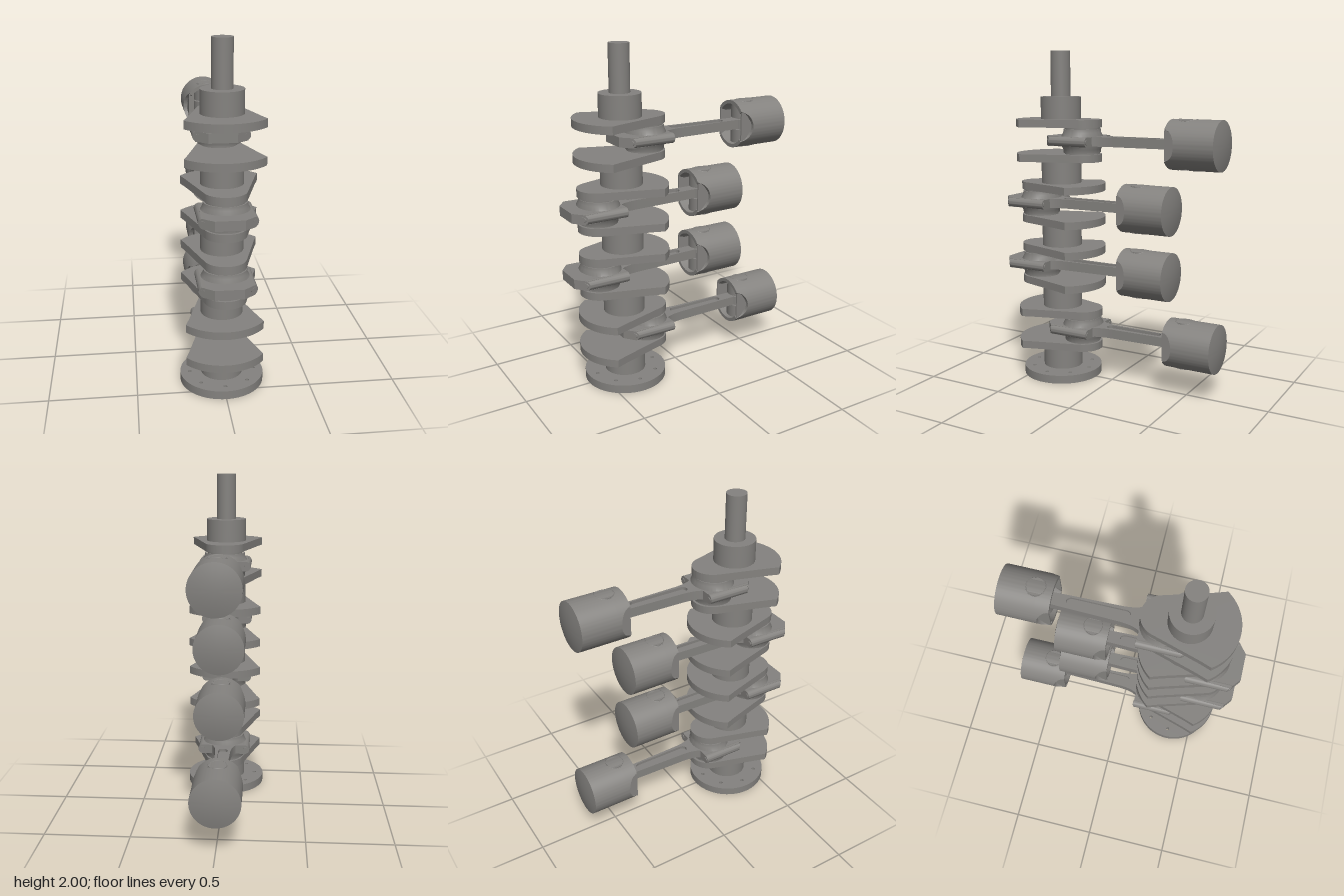
import * as THREE from 'three';
import { toCreasedNormals } from 'three/addons/utils/BufferGeometryUtils.js';

const material = new THREE.MeshStandardMaterial({ color: 0x84827f });
const AXIS_Z = 0.355;   // crankshaft axis
const THROW = 0.15;     // crankpin offset
const ROD = 0.69;       // distance between rod eyes
const PISTON_R = 0.143;

function add(parent, name, geometry, x = 0, y = 0, z = 0) {
  const mesh = new THREE.Mesh(geometry, material);
  mesh.name = name;
  mesh.position.set(x, y, z);
  parent.add(mesh);
  return mesh;
}

// Extrudes a plan outline (x, z) upward from y = 0
function plate(shape, height) {
  const g = new THREE.ExtrudeGeometry(shape, { depth: height, bevelEnabled: false, curveSegments: 32 });
  g.rotateX(Math.PI / 2).translate(0, height, 0);
  return toCreasedNormals(g, 0.5);
}

function journal(parent, name, radius, y0, y1, z = 0) {
  add(parent, name, new THREE.CylinderGeometry(radius, radius, y1 - y0, 64), 0, (y0 + y1) / 2, z);
}

// Crank web: round pin end widening to a sector counterweight
function webGeometry() {
  const s = new THREE.Shape();
  const corner = Math.atan2(0.155, 0.217);
  s.absarc(0, 0, 0.27, corner, Math.PI - corner, false);
  s.lineTo(-0.198, 0.095);
  s.absarc(0, -THROW, 0.119, Math.PI + 0.3, Math.PI * 2 - 0.3, false);
  s.lineTo(0.198, 0.095);
  s.closePath();
  return plate(s, 0.046);
}

function flangeGeometry() {
  const s = new THREE.Shape().absarc(0, 0, 0.243, 0, Math.PI * 2);
  for (let i = 0; i < 8; i++) {
    const a = i * Math.PI / 4;
    s.holes.push(new THREE.Path().absarc(0.188 * Math.cos(a), 0.188 * Math.sin(a), 0.011, 0, Math.PI * 2, true));
  }
  return plate(s, 0.05);
}

// Rod plan with bolted big end at the origin and small end at -z
function rodGeometry() {
  const s = new THREE.Shape();
  s.moveTo(-0.08, 0.2);
  s.lineTo(-0.145, 0.148);
  s.lineTo(-0.135, -0.11);
  s.lineTo(-0.075, -0.11);
  s.quadraticCurveTo(-0.05, -0.14, -0.046, -0.23);
  s.lineTo(-0.036, -0.63);
  s.absarc(0, -ROD, 0.075, Math.PI - 1.05, Math.PI * 2 + 1.05, false);
  s.lineTo(0.036, -0.63);
  s.lineTo(0.046, -0.23);
  s.quadraticCurveTo(0.05, -0.14, 0.075, -0.11);
  s.lineTo(0.135, -0.11);
  s.lineTo(0.145, 0.148);
  s.lineTo(0.08, 0.2);
  s.closePath();
  const slot = new THREE.Path();
  slot.absarc(0, -0.2, 0.028, 0, Math.PI, false);
  slot.absarc(0, -0.505, 0.028, Math.PI, Math.PI * 2, false);
  slot.closePath();
  s.holes.push(slot);
  return plate(s, 0.056).translate(0, -0.028, 0);
}

// Bar along z whose front end is cut by the sloping face of the rod cap
function cutBar(radius, x, proud) {
  const g = new THREE.CylinderGeometry(radius, radius, 0.2, 32).rotateX(Math.PI / 2).translate(x, 0, 0);
  const p = g.attributes.position;
  for (let i = 0; i < p.count; i++) {
    p.setZ(i, p.getZ(i) > 0 ? 0.14 + (0.155 - Math.abs(p.getX(i))) * 0.8 + proud : -0.11 - proud);
  }
  return toCreasedNormals(g, 0.5);
}

// Hollow piston, open towards +z, skirt scooped out on both sides
function pistonGeometry() {
  const profile = [[0, 0.22], [0.112, 0.22], [0.122, 0.2], [0.122, 0.08], [0.122, 0], [PISTON_R, 0],
    [PISTON_R, 0.08], [PISTON_R, 0.3], [0.1, 0.309], [0.05, 0.315], [0, 0.317]];
  const g = new THREE.LatheGeometry(profile.map(p => new THREE.Vector2(...p)), 128);
  const p = g.attributes.position;
  for (let i = 0; i < p.count; i++) {
    if (p.getY(i) > 0.001) continue;
    const across = PISTON_R * Math.abs(p.getZ(i)) / Math.hypot(p.getX(i), p.getZ(i));
    p.setY(i, 0.067 * Math.sqrt(Math.max(0, 1 - (across / 0.087) ** 2)));
  }
  return toCreasedNormals(g.rotateX(-Math.PI / 2), 0.5);
}

// Ring lying on the curved piston wall around the wrist pin
function boreRimGeometry(side) {
  const points = [];
  for (let i = 0; i < 24; i++) {
    const a = i * Math.PI / 12, x = 0.054 * Math.cos(a);
    points.push(new THREE.Vector3(x, side * (Math.sqrt(PISTON_R ** 2 - x * x) - 0.001), 0.054 * Math.sin(a)));
  }
  return new THREE.TubeGeometry(new THREE.CatmullRomCurve3(points, true), 48, 0.003, 6, true);
}

const rodGeo = rodGeometry(), pistonGeo = pistonGeometry(), webGeo = webGeometry();
const bearingProfile = [[0.1, -0.07], [0.108, -0.07], [0.11, -0.05], [0.121, -0.028],
  [0.121, 0.028], [0.11, 0.05], [0.108, 0.07], [0.1, 0.07]];
const bearingGeo = toCreasedNormals(
  new THREE.LatheGeometry(bearingProfile.map(p => new THREE.Vector2(...p)), 96).scale(1.12, 1, 1), 0.5);

function createRodAndPiston() {
  const group = new THREE.Group();
  group.name = 'rodAndPiston';
  add(group, 'connectingRod', rodGeo);
  add(group, 'rodWeb', new THREE.BoxGeometry(0.06, 0.022, 0.37), 0, 0, -0.353);
  add(group, 'bigEndBearing', bearingGeo);
  for (const side of [-1, 1]) {
    add(group, 'boltBoss', cutBar(0.029, side * 0.131, 0));
    add(group, 'bolt', cutBar(0.015, side * 0.136, 0.004));
    add(group, 'pinBoss', new THREE.CylinderGeometry(0.075, 0.075, 0.08, 48), 0, side * 0.075, -ROD);
    add(group, 'pinBoreRim', boreRimGeometry(side), 0, 0, -ROD);
    add(group, 'skirtPanel', new THREE.BoxGeometry(0.01, 0.17, 0.11), side * 0.109, 0, -ROD + 0.04);
  }
  add(group, 'wristPin', new THREE.CylinderGeometry(0.052, 0.052, 0.276, 48), 0, 0, -ROD);
  add(group, 'piston', pistonGeo, 0, 0, -ROD + 0.095);
  return group;
}

export function createModel() {
  const model = new THREE.Group();
  model.name = 'crankshaftAssembly';
  const crank = new THREE.Group();
  crank.name = 'crankshaft';
  crank.position.z = AXIS_Z;
  model.add(crank);

  // Flange, main journals and nose
  add(crank, 'flange', flangeGeometry());
  for (const [y0, y1] of [[0.05, 0.19], [0.43, 0.575], [0.82, 0.965], [1.205, 1.35], [1.59, 1.73]]) {
    journal(crank, 'mainJournal', 0.121, y0, y1);
  }
  journal(crank, 'nose', 0.059, 1.73, 2);

  // Four throws: outer pair to the back, inner pair to the front
  [-1, 1, 1, -1].forEach((dir, i) => {
    const y = 0.31 + i * 0.387;
    for (const webY of [y - 0.125, y + 0.08]) {
      const web = add(crank, 'crankWeb', webGeo, 0, webY, 0);
      if (dir > 0) web.rotation.y = Math.PI;
    }
    journal(crank, 'crankPin', 0.105, y - 0.08, y + 0.081, dir * THROW);
    const rod = createRodAndPiston();
    rod.position.set(0, y, AXIS_Z + dir * THROW);
    model.add(rod);
  });
  return model;
}
